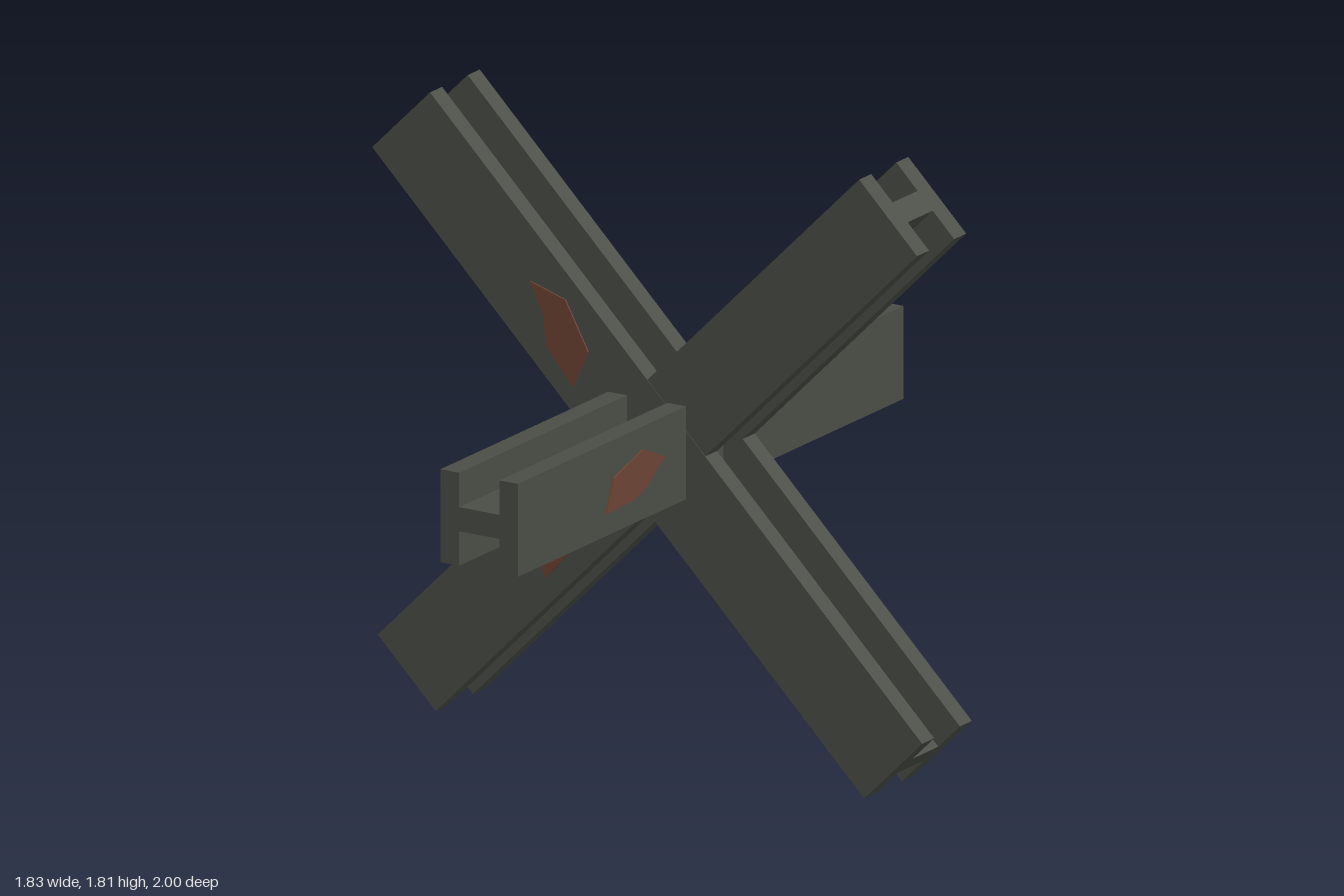
import * as THREE from 'three';

const steel = new THREE.MeshStandardMaterial({ color: 0x4a4d45, flatShading: true });
const rust = new THREE.MeshStandardMaterial({ color: 0x6b4333, flatShading: true });

const WIDTH = 0.27;      // width of each flange
const DEPTH = 0.256;     // distance over both flanges
const FLANGE = 0.062;    // flange thickness
const WEB = 0.07;        // web thickness
const CENTRE = 0.91;     // height of the crossing

// H-section beam along z, flanges facing +x and -x
function beam(name, length, depth = DEPTH) {
  const a = depth / 2, b = WIDTH / 2, i = a - FLANGE, w = WEB / 2;
  const quarter = [[a, b], [i, b], [i, w]];
  const outline = [
    ...quarter,
    ...quarter.map(([x, y]) => [-x, y]).reverse(),
    ...quarter.map(([x, y]) => [-x, -y]),
    ...quarter.map(([x, y]) => [x, -y]).reverse(),
  ].map(([x, y]) => new THREE.Vector2(x, y));
  const geometry = new THREE.ExtrudeGeometry(new THREE.Shape(outline), { depth: length, bevelEnabled: false });
  geometry.translate(0, 0, -length / 2);
  const mesh = new THREE.Mesh(geometry, steel);
  mesh.name = name;
  return mesh;
}

// Thin rust patch lying on a flange, turned about y to face that side
function patch(name, points, turn) {
  const shape = new THREE.Shape(points.map(([x, y]) => new THREE.Vector2(x, y - CENTRE)));
  const geometry = new THREE.ExtrudeGeometry(shape, { depth: 0.01, bevelEnabled: false });
  geometry.translate(0, 0, DEPTH / 2 - 0.005);
  geometry.rotateY(turn);
  const mesh = new THREE.Mesh(geometry, rust);
  mesh.name = name;
  return mesh;
}

export function createModel() {
  const model = new THREE.Group();
  model.name = 'antiTankObstacle';
  const body = new THREE.Group();
  body.name = 'crossedBeams';
  body.position.y = CENTRE;
  body.rotation.y = 0.123;
  model.add(body);

  // Level beam running front to back
  body.add(beam('levelBeam', 1.985));

  // Two diagonal beams, flanges facing front and back
  for (const [name, length, depth, tilt] of [
    ['fallingDiagonalBeam', 2.295, DEPTH, -Math.PI / 4],
    ['risingDiagonalBeam', 2.245, DEPTH - 0.003, Math.PI / 4],
  ]) {
    const diagonal = beam(name, length, depth);
    diagonal.geometry.rotateY(Math.PI / 2);
    diagonal.rotation.z = tilt;
    body.add(diagonal);
  }

  // Rust patches on the diagonal beams, front and back
  const upper = [[-0.384, 1.325], [-0.268, 1.29], [-0.192, 1.15], [-0.242, 1.04], [-0.333, 1.15], [-0.338, 1.23]];
  const lower = [[-0.187, 0.755], [-0.298, 0.715], [-0.378, 0.575], [-0.333, 0.47], [-0.237, 0.575], [-0.232, 0.655]];
  for (const [side, turn] of [['front', 0], ['back', Math.PI]]) {
    body.add(patch(side + 'UpperRust', upper, turn));
    body.add(patch(side + 'LowerRust', lower, turn));
  }

  // Rust patches on the sides of the level beam
  body.add(patch('leftRust', [[-0.545, 0.84], [-0.505, 0.935], [-0.353, 0.98], [-0.242, 0.93], [-0.338, 0.865], [-0.4, 0.845]], Math.PI / 2));
  body.add(patch('rightRust', [[-0.557, 0.935], [-0.476, 0.977], [-0.3, 0.93], [-0.234, 0.858], [-0.341, 0.825], [-0.502, 0.873]], -Math.PI / 2));

  return model;
}
